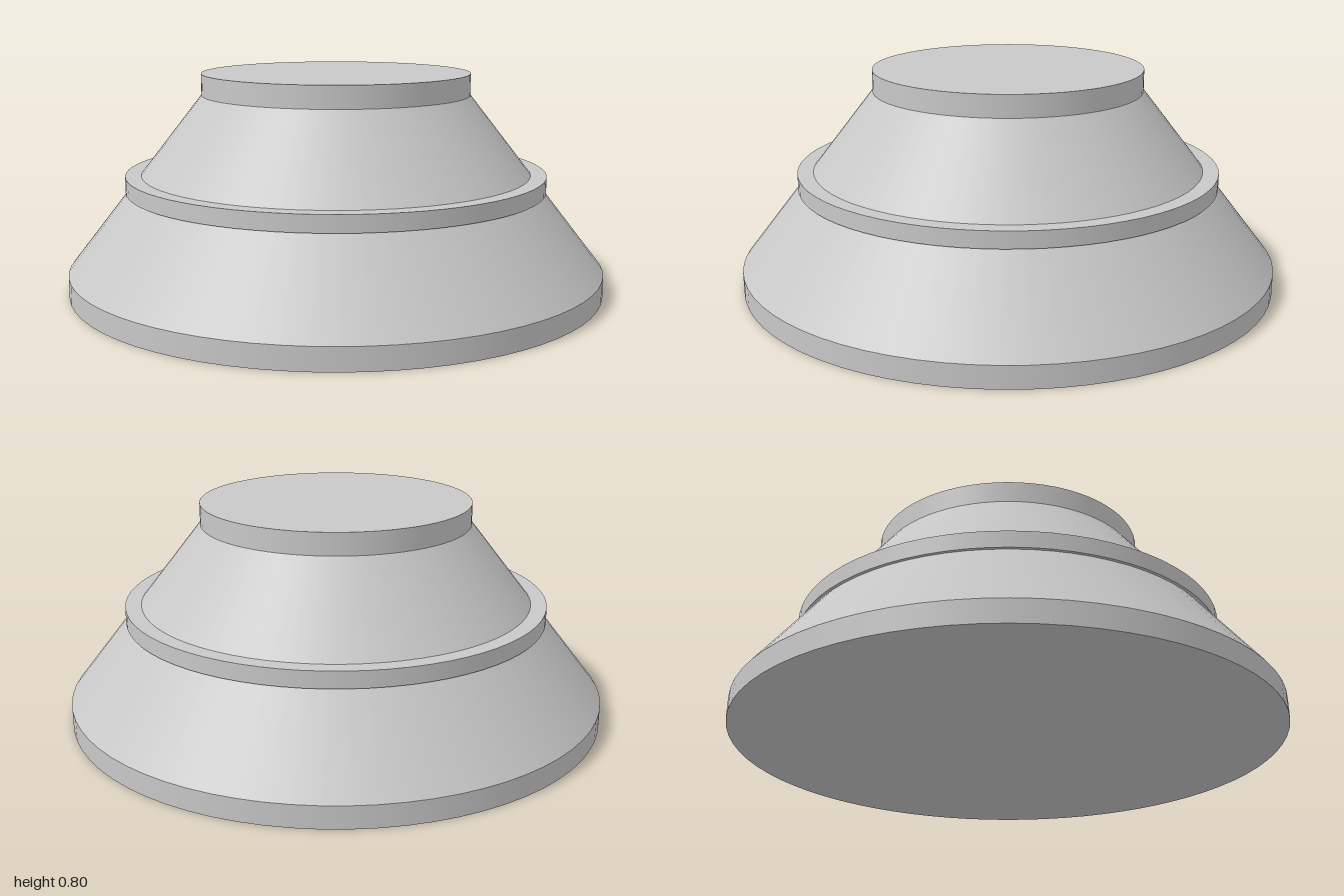
import * as THREE from 'three';

const SEGMENTS = 72;

export function createModel() {
  const group = new THREE.Group();
  group.name = 'steppedCone';

  const grey = new THREE.MeshStandardMaterial({ color: 0xc8c8c8 });
  grey.name = 'light grey';

  // Upright round section between two heights
  function addSection(name, y0, y1, r0, r1, open = false) {
    const geometry = new THREE.CylinderGeometry(r1, r0, y1 - y0, SEGMENTS, 1, open);
    const mesh = new THREE.Mesh(geometry, grey);
    mesh.name = name;
    mesh.position.y = (y0 + y1) / 2;
    group.add(mesh);
  }

  addSection('baseDisc', 0, 0.08, 1, 1);
  addSection('taperedBody', 0.08, 0.72, 1, 0.5, true);
  addSection('middleBand', 0.37, 0.43, 0.785, 0.785);
  addSection('topDisc', 0.72, 0.8, 0.5, 0.5);

  return group;
}
